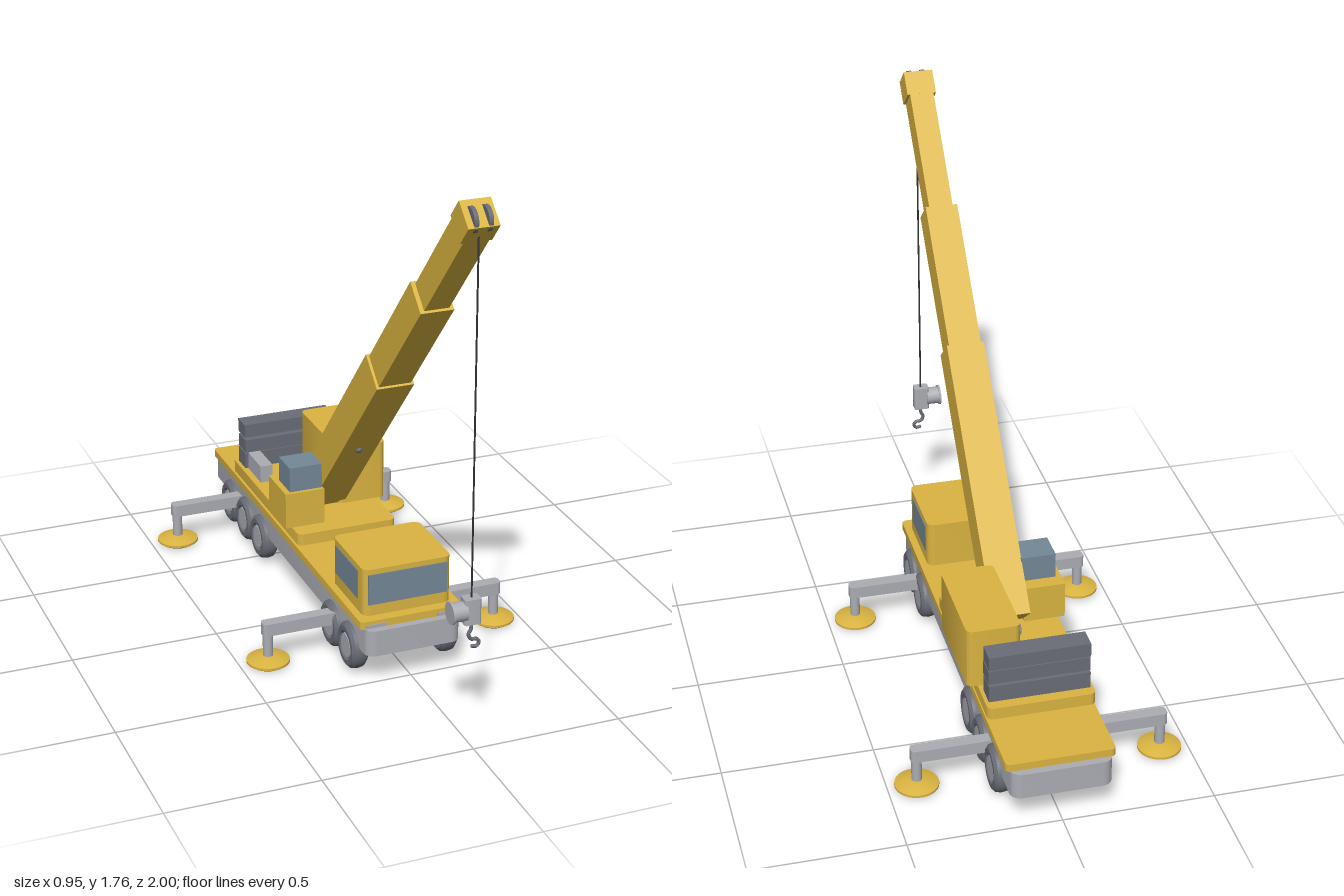
import * as THREE from 'three';
import { toCreasedNormals } from 'three/addons/utils/BufferGeometryUtils.js';

const mat = (color) => new THREE.MeshStandardMaterial({ color });
const yellow = mat(0xdab441), grey = mat(0xabadb4), dark = mat(0x6a6d76);
const glass = mat(0x748896), black = mat(0x333333);

function add(parent, name, geometry, material, x = 0, y = 0, z = 0) {
  const mesh = new THREE.Mesh(geometry, material);
  mesh.name = name;
  mesh.position.set(x, y, z);
  parent.add(mesh);
  return mesh;
}

// Box given by its limits on each axis
function block(parent, name, material, [x0, x1], [y0, y1], [z0, z1]) {
  return add(parent, name, new THREE.BoxGeometry(x1 - x0, y1 - y0, z1 - z0), material,
    (x0 + x1) / 2, (y0 + y1) / 2, (z0 + z1) / 2);
}

// Block with corners rounded in plan
function slab(parent, name, material, [x0, x1], [y0, y1], [z0, z1], r) {
  const a = (x1 - x0) / 2, b = (z1 - z0) / 2;
  const s = new THREE.Shape();
  s.absarc(a - r, b - r, r, 0, Math.PI / 2);
  s.absarc(-a + r, b - r, r, Math.PI / 2, Math.PI);
  s.absarc(-a + r, -b + r, r, Math.PI, Math.PI * 1.5);
  s.absarc(a - r, -b + r, r, Math.PI * 1.5, Math.PI * 2);
  s.closePath();
  const g = new THREE.ExtrudeGeometry(s, { depth: y1 - y0, bevelEnabled: false, curveSegments: 6 });
  g.rotateX(-Math.PI / 2);
  return add(parent, name, toCreasedNormals(g, 0.6), material, (x0 + x1) / 2, y0, (z0 + z1) / 2);
}

const lathe = (pts, n = 32) => toCreasedNormals(
  new THREE.LatheGeometry(pts.map(([x, y]) => new THREE.Vector2(x, y)), n), 0.5);
const axleCylinder = (r, width) => new THREE.CylinderGeometry(r, r, width, 28).rotateZ(Math.PI / 2);

function buildCarrier(model) {
  slab(model, 'chassis', grey, [-0.165, 0.165], [0.11, 0.2], [-1, 0.53], 0.035);
  slab(model, 'deck', yellow, [-0.178, 0.178], [0.2, 0.226], [-0.975, 0.505], 0.015);

  // Driving cab with windows on front and sides
  slab(model, 'cab', yellow, [-0.153, 0.153], [0.226, 0.39], [0.19, 0.468], 0.025);
  block(model, 'windshield', glass, [-0.137, 0.137], [0.265, 0.372], [0.46, 0.471]);
  for (const s of [-1, 1]) {
    add(model, 'cabSideWindow', new THREE.BoxGeometry(0.006, 0.1, 0.2), glass, s * 0.153, 0.32, 0.32);
    add(model, 'headlight', new THREE.BoxGeometry(0.07, 0.012, 0.01), grey, s * 0.125, 0.208, 0.503);
  }

  // Five axles of wheels
  const tyre = lathe([[0, -0.028], [0.066, -0.028], [0.077, -0.018], [0.08, 0], [0.077, 0.018],
    [0.066, 0.028], [0.05, 0.028], [0.043, 0.02], [0, 0.02]]);
  const hub = new THREE.CylinderGeometry(0.04, 0.043, 0.006, 24);
  for (const z of [0.385, 0.225, -0.48, -0.64, -0.8]) {
    for (const s of [-1, 1]) {
      const wheel = new THREE.Group();
      wheel.name = 'wheel';
      add(wheel, 'tyre', tyre, dark);
      add(wheel, 'hub', hub, grey, 0, 0.023, 0);
      wheel.position.set(s * 0.158, 0.088, z);
      wheel.rotation.z = -s * Math.PI / 2;
      model.add(wheel);
    }
    add(model, 'axle', axleCylinder(0.015, 0.28), dark, 0, 0.088, z);
  }

  // Outriggers with legs and round feet
  const foot = lathe([[0, 0], [0.06, 0], [0.072, 0.008], [0.072, 0.016], [0.03, 0.03], [0, 0.03]]);
  for (const z of [0.252, -0.72]) {
    for (const s of [-1, 1]) {
      slab(model, 'outriggerBeam', grey, s > 0 ? [0.12, 0.425] : [-0.425, -0.12],
        [0.107, 0.15], [z - 0.021, z + 0.021], 0.014);
      add(model, 'outriggerLeg', new THREE.CylinderGeometry(0.017, 0.017, 0.11, 20), grey, s * 0.405, 0.08, z);
      add(model, 'outriggerFoot', foot, yellow, s * 0.405, 0, z);
    }
  }
}

function buildUpperworks(model) {
  add(model, 'slewRing', new THREE.CylinderGeometry(0.05, 0.05, 0.03, 32), dark, 0, 0.233, -0.4);
  slab(model, 'turntable', yellow, [-0.178, 0.178], [0.239, 0.28], [-0.75, -0.065], 0.02);
  slab(model, 'engineHouse', yellow, [0.035, 0.213], [0.28, 0.488], [-0.617, -0.25], 0.022);

  // Operator cab
  block(model, 'operatorCabBase', yellow, [-0.2, -0.06], [0.28, 0.407], [-0.3, -0.13]);
  block(model, 'operatorCabWindow', glass, [-0.18, -0.062], [0.407, 0.495], [-0.25, -0.143]);

  // Counterweight slabs and their bracket
  [0.283, 0.346, 0.402].forEach((y, i) => {
    const dz = i === 1 ? 0.006 : 0;
    block(model, 'counterweight', dark, [-0.167, 0.167], [y, y + (i ? 0.048 : 0.058)], [-0.717 + dz, -0.645 + dz]);
  });
  block(model, 'counterweightBracket', grey, [-0.155, -0.11], [0.28, 0.342], [-0.65, -0.515]);

  // Winch motor behind the boom foot
  const motor = lathe([[0, 0], [0.026, 0], [0.026, 0.09], [0.021, 0.112], [0.01, 0.13], [0, 0.13]], 20);
  add(model, 'winchMotor', motor, grey, 0, 0.32, -0.3).rotation.x = -Math.PI / 2;
}

// Telescopic boom, built along local z and then raised
function buildBoom(model) {
  const boom = new THREE.Group();
  boom.name = 'boom';
  boom.position.set(0, 0.313, -0.318);
  boom.rotation.x = -THREE.MathUtils.degToRad(47.8);
  model.add(boom);
  for (const [name, w, h, z0, z1] of [
    ['boomBase', 0.064, 0.0635, 0, 0.93],
    ['boomMiddle', 0.055, 0.056, 0.9, 1.421],
    ['boomTop', 0.041, 0.0475, 1.4, 1.9],
    ['boomHead', 0.05, 0.0477, 1.83, 1.913],
  ]) block(boom, name, yellow, [-w, w], [-h, h], [z0, z1]);
  for (const s of [-1, 1]) {
    add(boom, 'headSheave', axleCylinder(0.04, 0.014), dark, s * 0.023, -0.009, 1.895);
  }
  add(boom, 'ropeGuide', new THREE.SphereGeometry(0.014, 16, 12), dark, 0, -0.06, 0.46);
}

function buildHook(model) {
  const z = 0.964;
  add(model, 'hoistRope', new THREE.CylinderGeometry(0.003, 0.003, 1.2, 8), black, 0, 1.1, z);
  const hook = new THREE.Group();
  hook.name = 'hookBlock';
  hook.position.z = z;
  model.add(hook);
  slab(hook, 'blockBody', grey, [-0.028, 0.026], [0.423, 0.508], [-0.021, 0.021], 0.008);
  add(hook, 'blockSheave', axleCylinder(0.031, 0.05), grey, -0.045, 0.466, 0);
  add(hook, 'sheaveFlange', axleCylinder(0.036, 0.007), grey, -0.068, 0.466, 0);
  // Curved hook
  const curve = new THREE.CatmullRomCurve3([[0, 0.43], [0, 0.4], [-0.008, 0.384], [0, 0.366],
    [0.02, 0.362], [0.027, 0.35], [0.018, 0.338], [0.005, 0.34]].map(([x, y]) => new THREE.Vector3(x, y, 0)));
  add(hook, 'hook', new THREE.TubeGeometry(curve, 32, 0.006, 10), dark);
  add(hook, 'hookTip', new THREE.SphereGeometry(0.006, 10, 8), dark, 0.005, 0.34, 0);
}

export function createModel() {
  const model = new THREE.Group();
  model.name = 'mobileCrane';
  buildCarrier(model);
  buildUpperworks(model);
  buildBoom(model);
  buildHook(model);
  return model;
}
